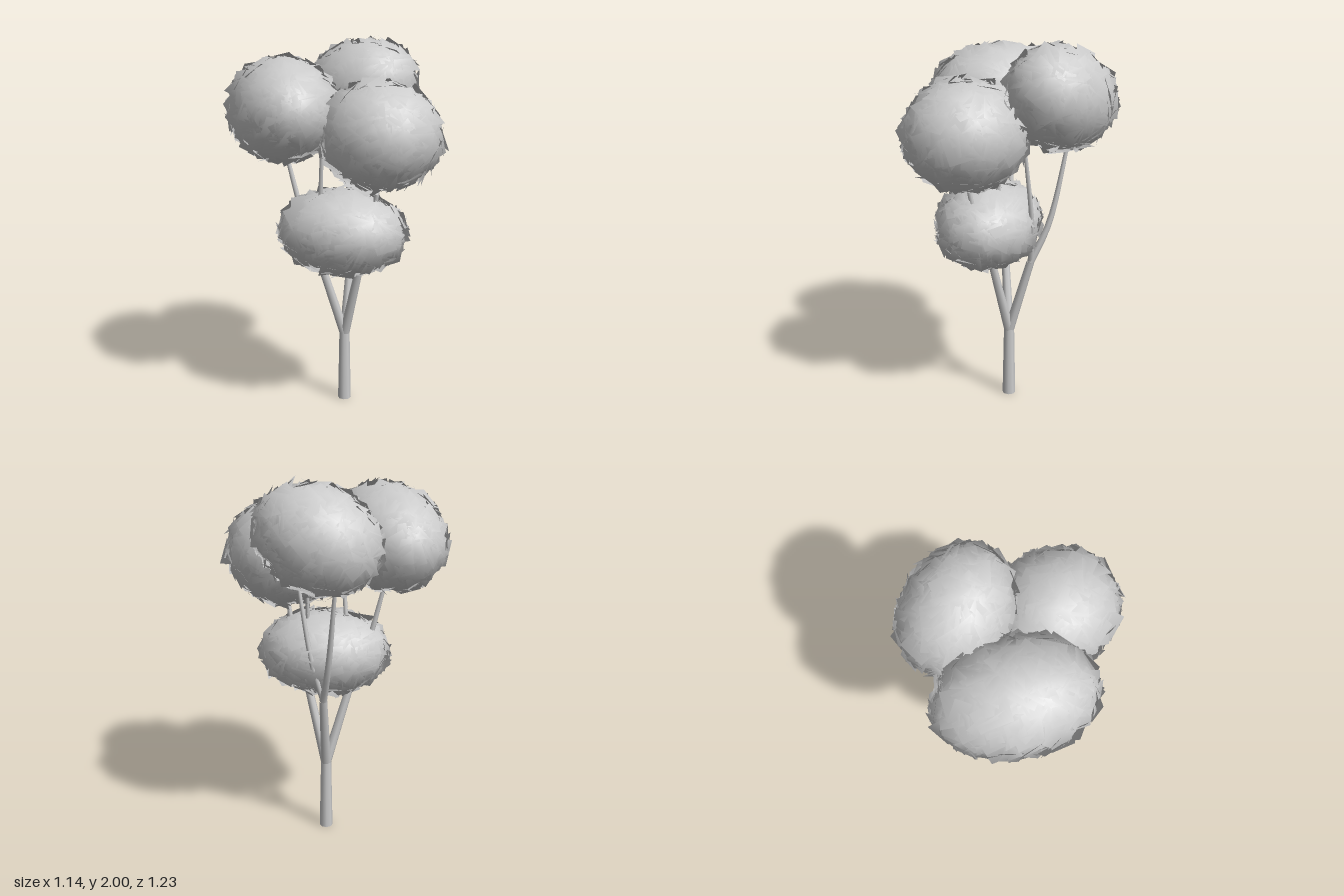
import * as THREE from 'three';
import { mergeGeometries } from 'three/addons/utils/BufferGeometryUtils.js';

const barkMaterial = new THREE.MeshStandardMaterial({ color: 0xcccccc });
const leafMaterial = new THREE.MeshStandardMaterial({ color: 0xcccccc, side: THREE.DoubleSide });

// Small seeded generator, 0..1
function seeded(seed) {
  let s = seed;
  return () => {
    s = (s * 16807) % 2147483647;
    return s / 2147483647;
  };
}

// Tapered tube along a smooth path
function limb(name, points, r0, r1) {
  const curve = new THREE.CatmullRomCurve3(points.map(p => new THREE.Vector3(...p)));
  const rings = 10, sides = 8;
  const geo = new THREE.TubeGeometry(curve, rings, 1, sides, false);
  const pos = geo.attributes.position;
  const v = new THREE.Vector3();
  for (let i = 0; i < pos.count; i++) {
    const u = Math.floor(i / (sides + 1)) / rings;
    const c = curve.getPointAt(u);
    v.fromBufferAttribute(pos, i).sub(c).multiplyScalar(r0 + (r1 - r0) * u).add(c);
    pos.setXYZ(i, v.x, v.y, v.z);
  }
  const mesh = new THREE.Mesh(geo, barkMaterial);
  mesh.name = name;
  return mesh;
}

// Ellipsoid clump of overlapping square leaf cards, shaded as one round mass
function leafClump(name, center, radii, turn, count, seed) {
  const rand = seeded(seed);
  const r = new THREE.Vector3(...radii);
  const cards = [];
  const zAxis = new THREE.Vector3(0, 0, 1);
  for (let i = 0; i < count; i++) {
    // Even spiral spread over the surface
    const y = 1 - 2 * (i + 0.5) / count;
    const a = i * 2.39996 + (rand() - 0.5) * 0.3;
    const h = Math.sqrt(1 - y * y);
    const dir = new THREE.Vector3(h * Math.cos(a), y, h * Math.sin(a));
    const normal = dir.clone().divide(r).normalize();
    const size = 0.1 + rand() * 0.04;
    const card = new THREE.PlaneGeometry(size, size);
    card.rotateZ(rand() * Math.PI * 2);
    card.rotateX((rand() - 0.5) * 0.85);
    card.rotateY((rand() - 0.5) * 0.85);
    card.applyQuaternion(new THREE.Quaternion().setFromUnitVectors(zAxis, normal));
    const p = dir.multiply(r).multiplyScalar(0.96 + rand() * 0.05);
    card.translate(p.x, p.y, p.z);
    // Rounded shading normals
    const pos = card.attributes.position, nor = card.attributes.normal;
    const n = new THREE.Vector3();
    for (let k = 0; k < pos.count; k++) {
      n.fromBufferAttribute(pos, k).divide(r).divide(r).normalize();
      nor.setXYZ(k, n.x, n.y, n.z);
    }
    cards.push(card);
  }
  const mesh = new THREE.Mesh(mergeGeometries(cards), leafMaterial);
  mesh.position.set(...center);
  mesh.rotation.set(...turn);
  mesh.name = name;
  return mesh;
}

export function createModel() {
  const tree = new THREE.Group();
  tree.name = 'tree';

  // Trunk
  const trunk = new THREE.Mesh(new THREE.CylinderGeometry(0.028, 0.036, 0.41, 8), barkMaterial);
  trunk.position.set(0.045, 0.205, -0.02);
  trunk.name = 'trunk';
  tree.add(trunk);

  // Three main limbs, each forking into two thin branches
  const fork = [0.045, 0.385, -0.02];
  const limbs = [
    { name: 'left', knee: [0.145, 0.8, -0.085],
      tips: [[[0.2, 1.02, -0.165], [0.25, 1.5, -0.255]], [[0.195, 1.02, -0.05], [0.22, 1.5, 0.03]]] },
    { name: 'right', knee: [-0.07, 0.8, -0.085],
      tips: [[[-0.12, 1.02, -0.155], [-0.2, 1.5, -0.25]], [[-0.1, 1.02, -0.05], [-0.14, 1.5, 0.02]]] },
    { name: 'front', knee: [0.05, 0.8, 0.1],
      tips: [[[0.045, 1.02, 0.19], [0.04, 1.4, 0.28]], [[0.06, 1.02, 0.09], [0.09, 1.4, 0.07]]] },
  ];
  for (const { name, knee, tips } of limbs) {
    tree.add(limb(name + 'Limb', [fork, knee], 0.027, 0.021));
    tips.forEach(([mid, tip], i) =>
      tree.add(limb(name + 'Branch' + (i + 1), [knee, mid, tip], 0.02 - i * 0.004, 0.009)));
  }

  // Foliage
  tree.add(
    leafClump('frontFoliage', [0.04, 1.535, 0.26], [0.285, 0.262, 0.31], [0, 0, 0], 440, 11),
    leafClump('rightFoliage', [-0.22, 1.64, -0.205], [0.27, 0.255, 0.385], [-0.05, -0.49, 0], 480, 23),
    leafClump('leftFoliage', [0.275, 1.705, -0.16], [0.25, 0.242, 0.312], [-0.4, 0.32, 0], 440, 37),
    leafClump('lowerFoliage', [-0.035, 1.003, 0.055], [0.256, 0.207, 0.322], [0, 0.6, 0], 400, 51),
  );
  return tree;
}
